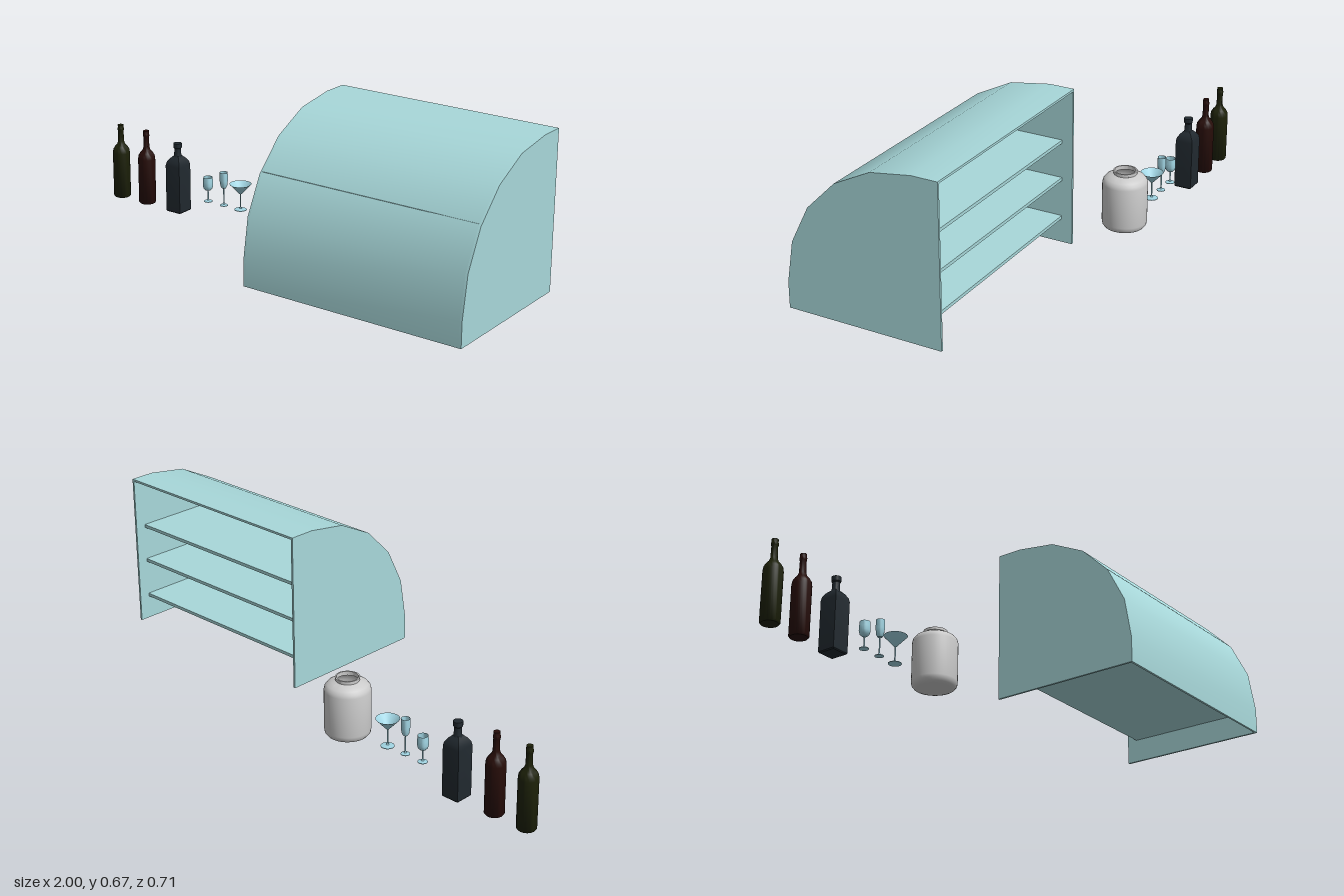
import * as THREE from 'three';
import { toCreasedNormals } from 'three/addons/utils/BufferGeometryUtils.js';

const paint = (color, extra = {}) => new THREE.MeshStandardMaterial({ color, ...extra });

function add(parent, name, geometry, material, x = 0, y = 0, z = 0) {
  const mesh = new THREE.Mesh(geometry, material);
  mesh.name = name;
  mesh.position.set(x, y, z);
  parent.add(mesh);
  return mesh;
}

// Lathe from [radius, height] pairs, listed from bottom to top
function turned(points, segments = 32) {
  const profile = points.map(([r, y]) => new THREE.Vector2(r, y));
  return toCreasedNormals(new THREE.LatheGeometry(profile, segments), 0.7);
}

// Extrude a [z, y] outline along x
function sideExtrude(points, x0, x1) {
  const shape = new THREE.Shape(points.map(([z, y]) => new THREE.Vector2(-z, y)));
  const geometry = new THREE.ExtrudeGeometry(shape, { depth: x1 - x0, bevelEnabled: false });
  geometry.rotateY(Math.PI / 2).translate(x0, 0, 0);
  return toCreasedNormals(geometry, 0.5);
}

function buildCounter() {
  const counter = new THREE.Group();
  counter.name = 'barCounter';
  const mat = paint(0xa8d8da);
  const back = -0.225, base = 0.09, left = 1, right = 0.143, wall = 0.008;
  const outer = [
    [0.355, base], [0.355, 0.185], [0.33, 0.335], [0.262, 0.47],
    [0.155, 0.577], [0.02, 0.645], [-0.13, 0.668], [back, 0.668],
  ];
  // Curved front and top, open at the back and below
  const s = 0.986;
  const inner = outer.map(([z, y]) => [back + (z - back) * s, base + (y - base) * s]).reverse();
  add(counter, 'curvedCover', sideExtrude([...outer, ...inner], right + wall, left - wall), mat);

  // End panels
  const side = [...outer, [back, base]];
  add(counter, 'leftPanel', sideExtrude(side, left - wall, left), mat);
  add(counter, 'rightPanel', sideExtrude(side, right, right + wall), mat);

  // Shelves reach from the curved front nearly to the open back
  const shelfBack = back + 0.04;
  for (const [y, front] of [[0.185, 0.35], [0.33, 0.325], [0.47, 0.257]]) {
    const shelf = new THREE.BoxGeometry(left - right - 2 * wall, 0.012, front - shelfBack);
    add(counter, 'shelf', shelf, mat, (left + right) / 2, y, (front + shelfBack) / 2);
  }
  return counter;
}

const wineBottle = [
  [0, 0.008], [0.022, 0.002], [0.03, 0], [0.034, 0.005], [0.034, 0.185], [0.032, 0.198],
  [0.025, 0.21], [0.016, 0.22], [0.012, 0.232], [0.011, 0.275], [0.0125, 0.278],
  [0.0125, 0.286], [0.0115, 0.288], [0.0115, 0.3], [0, 0.3],
];

function buildSquareBottle() {
  const bottle = new THREE.Group();
  bottle.name = 'squareBottle';
  const mat = paint(0x20282e);
  // Four-sided body with tapered shoulders
  const body = [[0, 0], [0.031, 0], [0.034, 0.004], [0.034, 0.19], [0.031, 0.204], [0.022, 0.218], [0.012, 0.228], [0, 0.228]];
  const profile = body.map(([r, y]) => new THREE.Vector2(r * Math.SQRT2, y));
  const square = new THREE.LatheGeometry(profile, 4, Math.PI / 4);
  add(bottle, 'body', toCreasedNormals(square, 0.4), mat);
  const neck = [[0.018, 0.218], [0.014, 0.23], [0.013, 0.258], [0.0165, 0.262], [0.0165, 0.279], [0, 0.28]];
  add(bottle, 'neck', turned(neck, 24), mat);
  return bottle;
}

// Stemware: foot and stem, then an open bowl
function buildGlass(name, foot, bowl) {
  const glass = new THREE.Group();
  glass.name = name;
  const mat = paint(0xa0d4e2, { side: THREE.DoubleSide });
  const stemTop = bowl[0][1];
  add(glass, 'stem', turned([
    [0, 0.07], [foot, 0.07], [foot, 0.072], [0.005, 0.076], [0.0025, 0.082], [0.0025, stemTop + 0.001],
  ], 24), mat);
  add(glass, 'bowl', turned(bowl, 24), mat);
  return glass;
}

function buildJar() {
  // Outer wall up to the lip, then down the inside
  const profile = [
    [0, 0.04], [0.062, 0.04], [0.073, 0.044], [0.08, 0.053], [0.082, 0.065], [0.082, 0.212],
    [0.079, 0.224], [0.071, 0.234], [0.056, 0.242], [0.041, 0.247], [0.041, 0.249],
    [0.043, 0.25], [0.043, 0.26], [0.038, 0.26], [0.038, 0.245], [0.068, 0.231],
    [0.078, 0.21], [0.078, 0.065], [0.065, 0.046], [0, 0.046],
  ];
  return turned(profile, 40);
}

export function createModel() {
  const model = new THREE.Group();
  model.name = 'barSet';
  const row = -0.284;

  model.add(buildCounter());

  // Bottles
  add(model, 'greenBottle', turned(wineBottle), paint(0x1c2008), -0.966, 0, row);
  add(model, 'redBottle', turned(wineBottle), paint(0x260c08), -0.833, 0, row);
  const square = buildSquareBottle();
  square.position.set(-0.672, 0, row);
  model.add(square);

  // Glasses
  const glasses = [
    ['wineGlass', -0.522, 0.017, [[0, 0.115], [0.01, 0.117], [0.017, 0.124], [0.02, 0.136], [0.0195, 0.152], [0.018, 0.17]]],
    ['fluteGlass', -0.444, 0.016, [[0, 0.138], [0.008, 0.141], [0.013, 0.15], [0.016, 0.172], [0.0155, 0.205]]],
    ['cocktailGlass', -0.363, 0.024, [[0, 0.131], [0.004, 0.134], [0.042, 0.175]]],
  ];
  for (const [name, x, foot, bowl] of glasses) {
    const glass = buildGlass(name, foot, bowl);
    glass.position.set(x, 0, row);
    model.add(glass);
  }

  add(model, 'jar', buildJar(), paint(0xcccccc), -0.164, 0, -0.272);
  return model;
}
